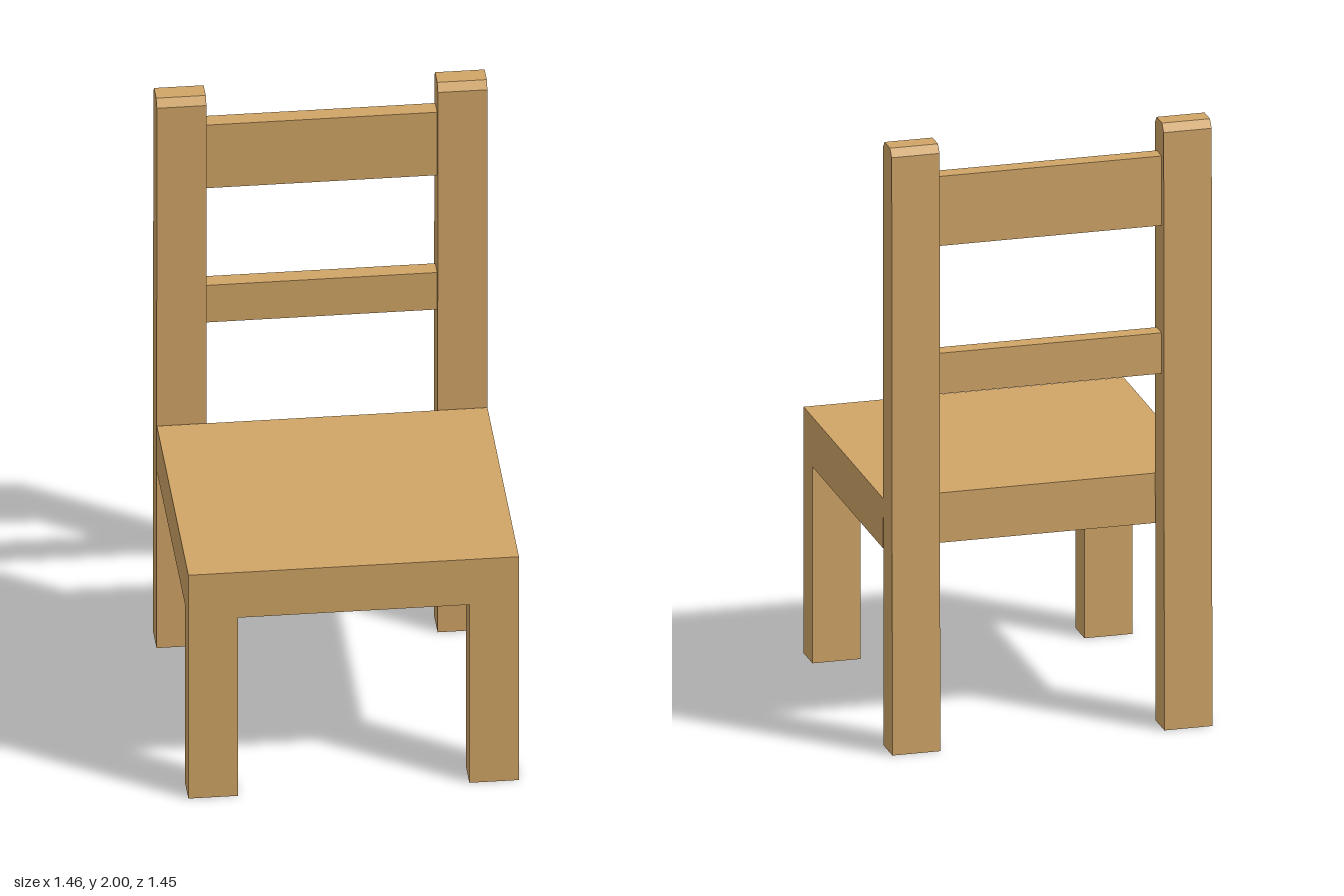
import * as THREE from 'three';

export function createModel() {
  const model = new THREE.Group();
  model.name = 'woodenChair';
  const wood = new THREE.MeshStandardMaterial({ color: 0xd0a466 });
  wood.name = 'lightWood';

  // The chair is built square to its own axes, then turned on the floor
  const chair = new THREE.Group();
  chair.name = 'chair';
  chair.rotation.y = -0.744;
  chair.position.set(-0.039, 0, 0.037);
  model.add(chair);

  const add = (name, geometry, x, y, z) => {
    const mesh = new THREE.Mesh(geometry, wood);
    mesh.name = name;
    mesh.position.set(x, y, z);
    chair.add(mesh);
  };
  const box = (name, w, y0, y1, d, x, z) =>
    add(name, new THREE.BoxGeometry(w, y1 - y0, d), x, (y0 + y1) / 2, z);

  const halfW = 0.52, halfD = 0.455;   // seat half sizes
  const legW = 0.156, legD = 0.102;
  const legX = halfW - legW / 2;

  // Seat slab
  box('seat', halfW * 2, 0.65, 0.815, halfD * 2, 0, 0);

  // Back post side profile (z, y): slight forward lean, bevelled top
  const profile = new THREE.Shape([
    [-0.008, 0], [0, 1.975], [-0.02, 2], [-legD + 0.02, 2], [-legD, 1.975], [-legD - 0.008, 0],
  ].map(([z, y]) => new THREE.Vector2(z, y)));
  const postGeometry = new THREE.ExtrudeGeometry(profile, { depth: legW, bevelEnabled: false });
  postGeometry.translate(0, 0, -legW / 2).rotateY(-Math.PI / 2);

  for (const [side, s] of [['left', 1], ['right', -1]]) {
    box(side + 'FrontLeg', legW, 0, 0.65, legD, s * legX, halfD - legD / 2);
    add(side + 'BackPost', postGeometry, s * legX, 0, -halfD);
  }

  // Back rails between the posts
  const railW = 2 * (halfW - legW) + 0.02;
  box('topRail', railW, 1.66, 1.89, 0.056, 0, -halfD - 0.05);
  box('lowerRail', railW, 1.17, 1.305, 0.056, 0, -halfD - 0.05);

  return model;
}
